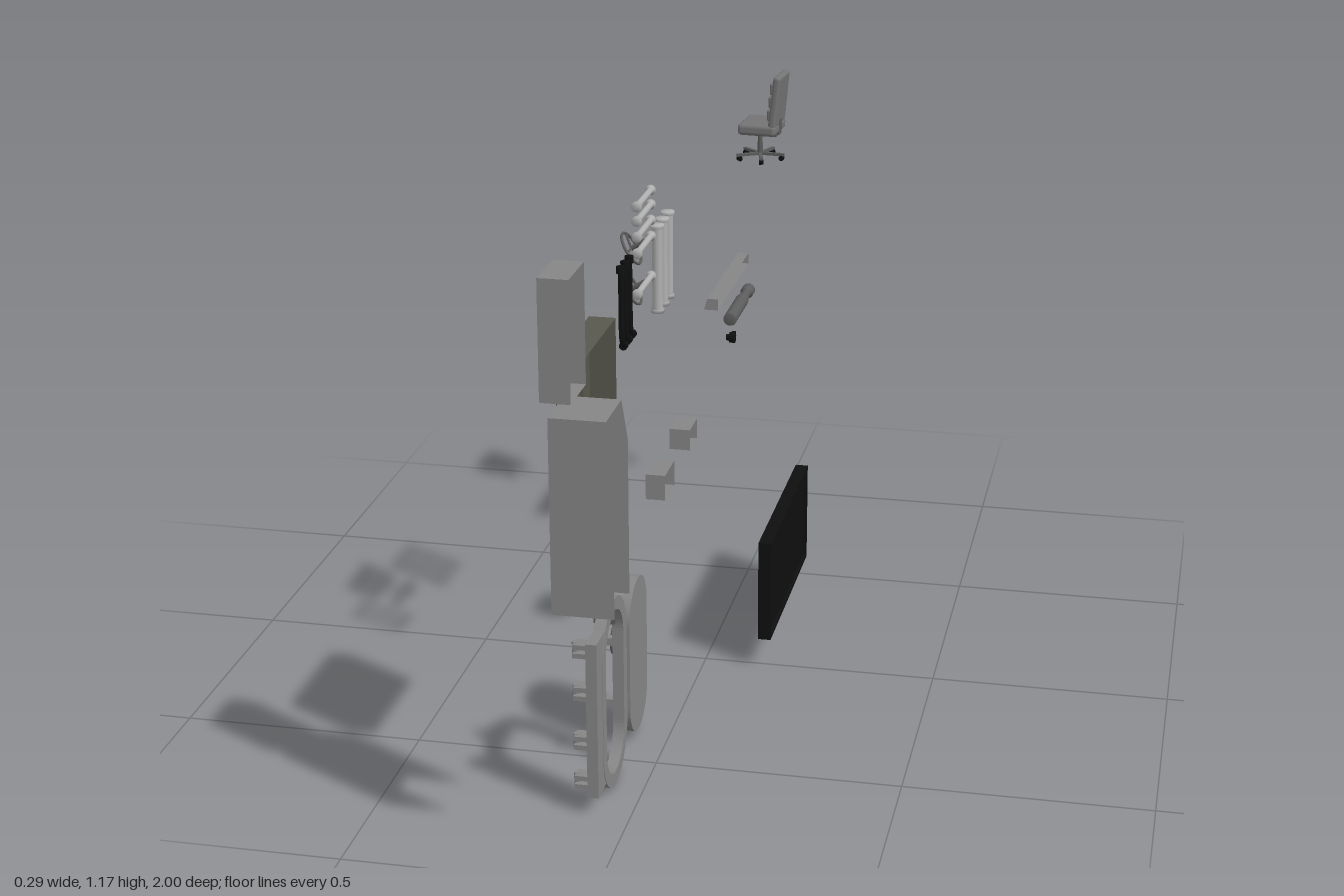
import * as THREE from 'three';
import { RoundedBoxGeometry } from 'three/addons/geometries/RoundedBoxGeometry.js';

const mat = color => new THREE.MeshStandardMaterial({ color, side: THREE.DoubleSide });
const grey = mat(0x868686), pale = mat(0xb0b0b0), lamp = mat(0xe0e0e0), olive = mat(0x58584d);
const black = mat(0x0f0f0f), dark = mat(0x5c5c5c), fabric = mat(0x747474);

export function createModel() {
  const root = new THREE.Group();

  function add(name, geo, material = grey, x = 0, y = 0, z = 0, parent = root) {
    const m = new THREE.Mesh(geo, material);
    m.name = name;
    m.position.set(x, y, z);
    parent.add(m);
    return m;
  }
  // Box given by its extents
  function block(name, [x0, x1], [y0, y1], [z0, z1], material = grey, parent = root) {
    return add(name, new THREE.BoxGeometry(x1 - x0, y1 - y0, z1 - z0), material,
      (x0 + x1) / 2, (y0 + y1) / 2, (z0 + z1) / 2, parent);
  }
  // Thin shell: a box without the listed sides (0 = +x, 3 = -y)
  function shell(name, [x0, x1], [y0, y1], [z0, z1], material, open, rows = 1, rule) {
    const g = new THREE.BoxGeometry(x1 - x0, y1 - y0, z1 - z0, 1, rows, 1);
    const idx = Array.from(g.index.array);
    g.setIndex(g.groups.filter(s => !open.includes(s.materialIndex))
      .flatMap(s => idx.slice(s.start, s.start + s.count)));
    g.clearGroups();
    if (rule) {
      const p = g.attributes.position;
      for (let i = 0; i < p.count; i++) rule(p, i);
      g.computeVertexNormals();
    }
    return add(name, g, material, (x0 + x1) / 2, (y0 + y1) / 2, (z0 + z1) / 2);
  }
  // Outline with round ends, in (z, y)
  function oval(Type, cz, cy, r, half) {
    const s = new Type();
    s.absarc(cz, cy + half, r, 0, Math.PI);
    s.absarc(cz, cy - half, r, Math.PI, 2 * Math.PI);
    s.closePath();
    return s;
  }
  const slab = (shape, depth) => new THREE.ExtrudeGeometry(shape,
    { depth, bevelEnabled: false, curveSegments: 16 }).rotateY(-Math.PI / 2);
  // Handwheel facing -x, with spokes and a stem
  function handwheel(name, x, y, z, r, tilt, stem) {
    const g = new THREE.Group();
    g.name = name;
    g.position.set(x, y, z);
    g.rotation.z = tilt;
    add('rim', new THREE.TorusGeometry(r, 0.003, 6, 24).rotateY(Math.PI / 2), dark, 0, 0, 0, g);
    for (let i = 0; i < 3; i++) {
      const s = add('spoke', new THREE.BoxGeometry(0.004, r, 0.004).translate(0, r / 2, 0), dark, 0, 0, 0, g);
      s.rotation.x = Math.PI / 2 + i * 2 * Math.PI / 3;
    }
    add('stem', new THREE.CylinderGeometry(0.005, 0.005, stem, 10).rotateZ(Math.PI / 2), dark, stem / 2, 0, 0, g);
    root.add(g);
  }
  // Pipe with an end flange on each side, along y
  function pipe(length, r, flange) {
    const h = length / 2, t = 0.008;
    return new THREE.LatheGeometry([[0, -h], [flange, -h], [flange, -h + t], [r, -h + t],
      [r, h - t], [flange, h - t], [flange, h], [0, h]].map(p => new THREE.Vector2(...p)), 16);
  }

  // Lockers and niches, open towards +x
  shell('upperCabinet', [-0.094, -0.037], [0.947, 1.175], [0.882, 0.992], grey, [0]);
  shell('tallLocker', [-0.078, 0.038], [0.546, 0.922], [0.88, 0.998], grey, [0, 3], 5, (p, i) => {
    if (p.getX(i) > 0 && p.getY(i) > 0.18) p.setX(i, p.getX(i) - 0.011);
  });
  shell('wallNiche', [-0.118, -0.066], [0.732, 0.956], [0.532, 0.789], olive, [0]);
  shell('smallBoxA', [-0.127, -0.09], [0.367, 0.424], [-0.096, -0.003], grey, [0], 1, (p, i) => {
    if (p.getX(i) < 0 && p.getZ(i) > 0) p.setX(i, p.getX(i) - 0.006);
  });
  shell('smallBoxB', [-0.137, -0.09], [0.385, 0.433], [-0.34, -0.262], grey, [0]);

  // Light trough with a sloped back and a bright strip inside
  shell('lightTrough', [-0.1, -0.067], [0.651, 0.677], [-0.835, -0.465], grey, [0], 1, (p, i) => {
    if (p.getX(i) < 0 && p.getY(i) > 0) p.setX(i, p.getX(i) + 0.008);
  });
  const strip = add('lightStrip', new THREE.PlaneGeometry(0.368, 0.026).rotateY(Math.PI / 2),
    lamp, -0.094, 0.664, -0.65);
  strip.rotation.z = -0.3;

  // Hatch frame with its hinge plate
  const frame = new THREE.Group();
  frame.name = 'hatchFrame';
  root.add(frame);
  const ring = oval(THREE.Shape, 0.5965, 0.2015, 0.1015, 0.098);
  ring.holes.push(oval(THREE.Path, 0.5965, 0.2015, 0.074, 0.098));
  add('ring', slab(ring, 0.023), grey, -0.06, 0, 0, frame);
  block('hingePlate', [-0.083, -0.061], [0.041, 0.368], [0.669, 0.74], grey, frame);
  for (const y of [0.345, 0.255, 0.15, 0.065]) {
    for (const d of [-0.009, 0.009])
      block('hingeLug', [-0.112, -0.083], [y + d - 0.005, y + d + 0.005], [0.698, 0.728], grey, frame);
    add('hingePin', new THREE.CylinderGeometry(0.007, 0.007, 0.03, 10), grey, -0.109, y, 0.713, frame);
  }
  for (const [y, z] of [[0.27, 0.508], [0.135, 0.508], [0.375, 0.5965]]) {
    block('latchStem', [-0.11, -0.083], [y - 0.008, y + 0.008], [z - 0.008, z + 0.008], grey, frame);
    block('latchHead', [-0.118, -0.106], [y - 0.012, y + 0.012], [z - 0.01, z + 0.01], grey, frame);
  }
  block('latchHandle', [-0.1, -0.058], [0.35, 0.378], [0.59, 0.603], dark, frame);

  // Hatch door with its handwheel
  add('hatchDoor', slab(oval(THREE.Shape, 0.3795, 0.1845, 0.0775, 0.091), 0.022), grey, -0.063);
  handwheel('doorWheel', -0.112, 0.215, 0.3795, 0.032, 0, 0.03);

  // Wall screen: panel with a raised bezel
  const screen = new THREE.Group();
  screen.name = 'wallScreen';
  root.add(screen);
  block('panel', [0.118, 0.14], [0.067, 0.293], [-0.455, 0.015], black, screen);
  for (const [y, z] of [[[0.067, 0.075], [-0.455, 0.015]], [[0.285, 0.293], [-0.455, 0.015]],
    [[0.067, 0.293], [-0.455, -0.447]], [[0.067, 0.293], [0.007, 0.015]]])
    block('bezel', [0.138, 0.146], y, z, black, screen);

  // Flanged pipes, upright and level
  for (const z of [0.051, 0.001, -0.051])
    add('uprightPipe', pipe(0.19, 0.011, 0.014), pale, -0.092, 0.9065, z);
  for (const y of [1.09, 1.06, 1.027, 0.993, 0.908])
    add('levelPipe', pipe(0.135, 0.0065, 0.0105).rotateX(Math.PI / 2), pale, -0.092, y, 0.172);
  for (const y of [0.974, 0.888]) handwheel('valveWheel', -0.126, y, 0.14, 0.035, 0.55, 0.035);

  // Bent black rods with end collars
  const bend = new THREE.CatmullRomCurve3([[0, 1, 0.006], [0, 0.975, 0.004], [0, 0.92, 0.003], [0, 0.86, 0.002],
    [0, 0.84, -0.003], [0, 0.829, -0.014]].map(p => new THREE.Vector3(...p)));
  for (const z of [0.338, 0.302, 0.266]) {
    add('bentRod', new THREE.TubeGeometry(bend, 20, 0.006, 8), black, -0.1, 0, z);
    add('rodCollar', new THREE.CylinderGeometry(0.009, 0.009, 0.014, 10), black, -0.1, 0.992, z + 0.006);
    add('rodFoot', new THREE.CylinderGeometry(0.009, 0.009, 0.012, 10).rotateX(Math.PI / 2), black, -0.1, 0.829, z - 0.014);
  }

  // Cylinder with a neck and rounded head, along z
  add('cylinder', new THREE.LatheGeometry([[0, 0], [0.014, 0], [0.016, 0.004], [0.016, 0.155], [0.012, 0.185],
    [0.0105, 0.21], [0.0105, 0.218], [0.016, 0.22], [0.016, 0.244], [0.012, 0.25], [0, 0.25]]
    .map(p => new THREE.Vector2(...p)), 20).rotateX(-Math.PI / 2), dark, -0.096, 0.534, -0.75);

  // Small black knob
  add('knobBody', new THREE.CylinderGeometry(0.013, 0.014, 0.014, 12).rotateZ(Math.PI / 2), black, -0.131, 0.416, -0.966);
  add('knobTip', new THREE.CylinderGeometry(0.008, 0.008, 0.012, 10).rotateZ(Math.PI / 2), black, -0.14, 0.416, -0.966);
  block('knobLever', [-0.136, -0.126], [0.418, 0.426], [-0.987, -0.945], black);

  // Swivel chair facing -x, turned slightly
  const chair = new THREE.Group();
  chair.name = 'swivelChair';
  chair.position.set(0.004, 0, -0.604);
  chair.rotation.y = -0.08;
  root.add(chair);
  add('seat', new RoundedBoxGeometry(0.088, 0.026, 0.102, 3, 0.009), fabric, 0.001, 1.051, 0, chair);
  const backGeo = new RoundedBoxGeometry(0.017, 0.12, 0.098, 4, 0.007);
  const bp = backGeo.attributes.position;
  for (let i = 0; i < bp.count; i++) bp.setZ(i, bp.getZ(i) * (1 - 1.5 * Math.max(0, bp.getY(i))));
  const back = add('backrest', backGeo, fabric, 0.041, 1.115, 0, chair);
  back.rotation.z = -0.1;
  for (const y of [1.085, 1.115, 1.145])
    add('backCushion', new RoundedBoxGeometry(0.012, 0.027, 0.08, 2, 0.005), fabric, 0.032 + (y - 1.115) * 0.1, y, 0, chair);
  block('backBracket', [0.035, 0.045], [1.035, 1.075], [-0.012, 0.012], dark, chair);
  block('seatPlate', [-0.02, 0.04], [1.032, 1.04], [-0.018, 0.018], dark, chair);
  add('gasPost', new THREE.CylinderGeometry(0.005, 0.007, 0.05, 12), dark, -0.002, 1.01, 0, chair);
  for (let i = 0; i < 5; i++) {
    const leg = new THREE.Group();
    leg.name = 'baseLeg';
    leg.position.set(-0.002, 0.985, 0);
    leg.rotation.y = i * 2 * Math.PI / 5;
    add('spoke', new THREE.BoxGeometry(0.056, 0.006, 0.008), dark, 0.028, 0.002, 0, leg);
    add('caster', new THREE.CylinderGeometry(0.006, 0.006, 0.01, 10).rotateX(Math.PI / 2), black, 0.05, -0.006, 0, leg);
    chair.add(leg);
  }
  return root;
}
